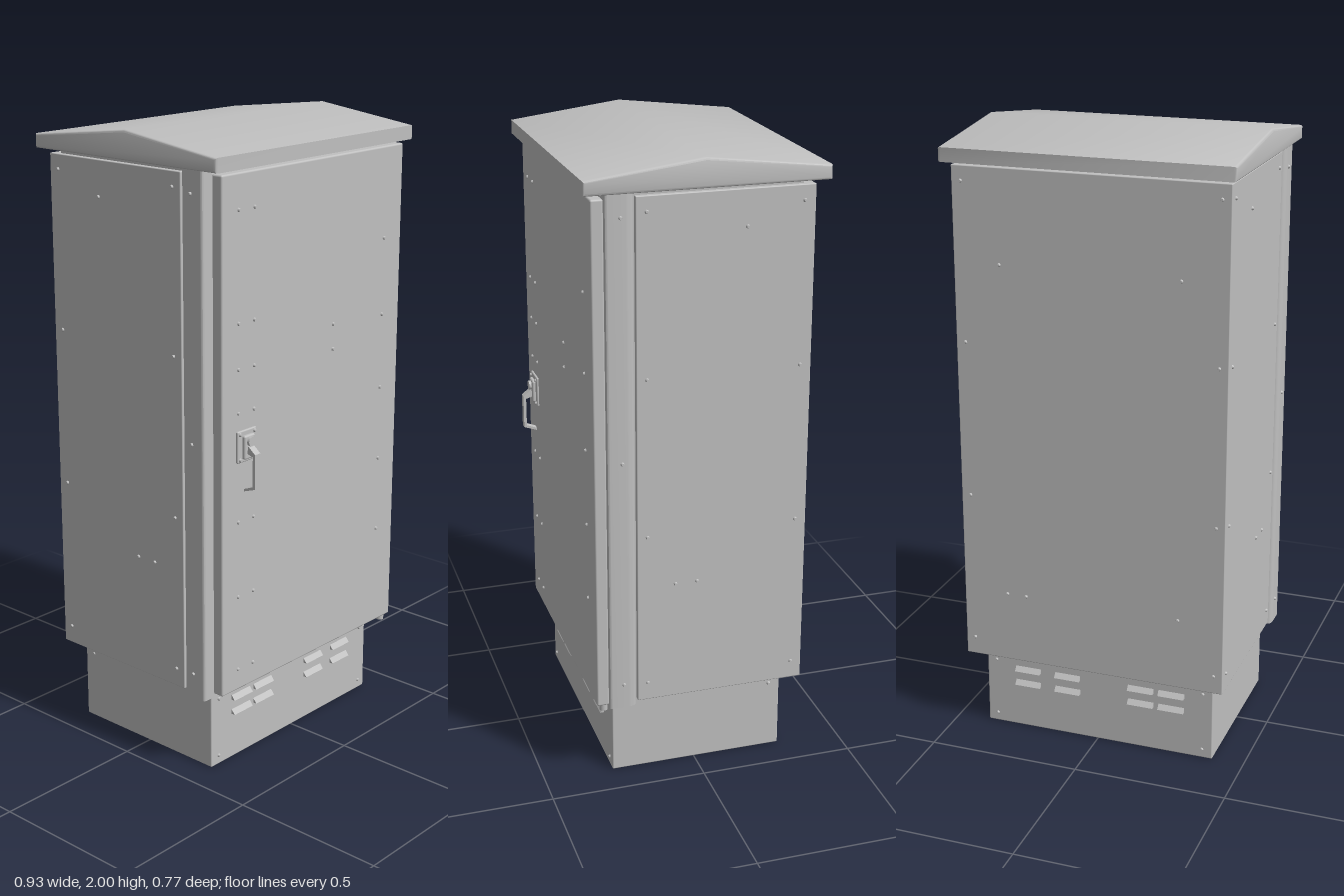
import * as THREE from 'three';
import { toCreasedNormals } from 'three/addons/utils/BufferGeometryUtils.js';
import { RoundedBoxGeometry } from 'three/addons/geometries/RoundedBoxGeometry.js';

export function createModel() {
  const model = new THREE.Group();
  model.name = 'equipmentCabinet';
  const steel = new THREE.MeshStandardMaterial({ color: 0xc0c0c0 });
  steel.name = 'grey painted steel';

  const add = (name, geo, parent = model) => {
    const mesh = new THREE.Mesh(geo, steel);
    mesh.name = name;
    parent.add(mesh);
    return mesh;
  };
  // Box given by its limits; r rounds the edges
  const block = (name, [x0, x1], [y0, y1], [z0, z1], r = 0, parent = model) => {
    const s = [x1 - x0, y1 - y0, z1 - z0];
    const geo = r ? new RoundedBoxGeometry(...s, 3, r) : new THREE.BoxGeometry(...s);
    const mesh = add(name, geo, parent);
    mesh.position.set((x0 + x1) / 2, (y0 + y1) / 2, (z0 + z1) / 2);
    return mesh;
  };
  const group = (name) => {
    const g = new THREE.Group();
    g.name = name;
    model.add(g);
    return g;
  };

  // Plinth, main body and the recessed neck under the roof
  block('plinth', [-0.395, 0.392], [0, 0.28], [-0.292, 0.275], 0.004);
  block('body', [-0.44, 0.44], [0.27, 1.897], [-0.345, 0.203], 0.003);
  block('frontFrame', [-0.425, 0.425], [0.275, 1.897], [0.2, 0.297]);
  block('roofNeck', [-0.425, 0.425], [1.89, 1.915], [-0.31, 0.29]);

  // Door
  block('door', [-0.412, 0.447], [0.275, 1.897], [0.299, 0.338], 0.006);

  // Rounded corner posts on both sides of the door frame
  for (const s of [-1, 1]) {
    const p = new THREE.Shape();
    p.moveTo(s * 0.41, 0.207);
    p.lineTo(s * 0.428, 0.207);
    p.quadraticCurveTo(s * 0.449, 0.209, s * 0.449, 0.235);
    p.lineTo(s * 0.449, 0.288);
    p.quadraticCurveTo(s * 0.449, 0.297, s * 0.44, 0.297);
    p.lineTo(s * 0.41, 0.297);
    const geo = new THREE.ExtrudeGeometry(p, { depth: 1.65, bevelEnabled: false, curveSegments: 6 });
    geo.rotateX(Math.PI / 2); // shape y becomes z, depth runs downwards
    const post = add('cornerPost', toCreasedNormals(geo, 0.6));
    post.position.y = 1.91;
  }

  // Hinge pin below the door
  const pin = add('hingePin', new THREE.CylinderGeometry(0.013, 0.013, 0.03, 12));
  pin.position.set(0.428, 0.268, 0.313);

  // Gabled roof with softened edges
  const b = 0.008;
  const gable = new THREE.Shape([
    [-0.377, 1.918], [0.354, 1.918], [0.354, 1.947], [0, 1.992], [-0.377, 1.947],
  ].map(([z, y]) => new THREE.Vector2(z, y)));
  const roofGeo = new THREE.ExtrudeGeometry(gable, {
    depth: 0.91, bevelSize: b, bevelThickness: b, bevelSegments: 3,
  });
  roofGeo.translate(0, 0, -0.455).rotateY(-Math.PI / 2);
  add('roof', toCreasedNormals(roofGeo, 0.6));

  // Rivets: each face has a placement rule from (u, y) to position and rotation
  const rivetGeo = new THREE.CylinderGeometry(0.004, 0.007, 0.007, 8).rotateX(Math.PI / 2);
  const rivets = group('rivets');
  const rivet = (x, y, z, turn) => {
    const mesh = add('rivet', rivetGeo, rivets);
    mesh.position.set(x, y, z);
    mesh.rotation.y = turn;
  };
  const onDoor = (x, y) => rivet(x, y, 0.34, 0);
  const onBack = (x, y) => rivet(x, y, -0.347, Math.PI);
  const onSides = (z, y, x = 0.442) => {
    for (const s of [-1, 1]) rivet(s * x, y, z, s * Math.PI / 2);
  };
  for (const y of [1.79, 1.455, 1.315, 1.18, 0.835, 0.59, 0.345]) {
    onDoor(-0.34, y);
    onDoor(-0.27, y);
  }
  for (const y of [1.605, 1.355, 1.11, 0.865, 0.615]) onDoor(0.357, y);
  for (const y of [1.37, 1.29]) onDoor(0.105, y);
  for (const y of [1.85, 1.345, 0.835, 0.33]) {
    for (const z of [0.17, -0.31]) onSides(z, y);
    for (const x of [-0.41, 0.41]) onBack(x, y);
  }
  for (const [z, y] of [[-0.135, 1.785], [0.08, 0.665], [0.01, 0.665]]) onSides(z, y);
  for (const [x, y] of [[0.29, 1.6], [-0.29, 1.6], [0.29, 0.505], [0.225, 0.505], [-0.29, 0.505]]) onBack(x, y);
  for (const y of [1.84, 1.09, 0.34]) onSides(0.25, y, 0.451);
  for (const y of [0.23, 0.03]) {
    for (const x of [-0.36, 0.36]) {
      rivet(x, y, 0.277, 0);
      rivet(x, y, -0.294, Math.PI);
    }
  }
  onSides(-0.255, 0.23, 0.395);

  // Ventilation louvres: small sloping hoods on the plinth front and back
  const hood = new THREE.Shape([
    new THREE.Vector2(0, 0), new THREE.Vector2(0.013, 0), new THREE.Vector2(0, 0.016),
  ]);
  const hoodGeo = new THREE.ExtrudeGeometry(hood, { depth: 0.088, bevelEnabled: false });
  hoodGeo.translate(0, 0, -0.044).rotateY(-Math.PI / 2);
  const louvres = group('louvres');
  for (const x of [-0.255, -0.15, 0.105, 0.245]) {
    for (const y of [0.153, 0.203]) {
      const front = add('louvre', hoodGeo, louvres);
      front.position.set(x, y, 0.275);
      const back = add('louvre', hoodGeo, louvres);
      back.position.set(x, y, -0.292);
      back.rotation.y = Math.PI;
    }
  }

  // Latch: mounting plate, lock boss and bent handle
  const latch = group('latch');
  block('latchPlate', [-0.35, -0.265], [1.025, 1.125], [0.335, 0.345], 0.004, latch);
  block('lockHousing', [-0.33, -0.282], [1.035, 1.11], [0.34, 0.356], 0.006, latch);
  const lock = add('lockBoss', new THREE.CylinderGeometry(0.015, 0.015, 0.02, 16).rotateX(Math.PI / 2), latch);
  lock.position.set(-0.306, 1.09, 0.354);
  for (const x of [-0.34, -0.275]) for (const y of [1.035, 1.115]) rivet(x, y, 0.347, 0);
  const arm = new THREE.Shape([
    [0.345, 1.075], [0.36, 1.075], [0.385, 1.055], [0.385, 0.945], [0.342, 0.93],
    [0.342, 0.938], [0.376, 0.951], [0.376, 1.046], [0.345, 1.055],
  ].map(([z, y]) => new THREE.Vector2(z, y)));
  const armGeo = new THREE.ExtrudeGeometry(arm, { depth: 0.024, bevelEnabled: false });
  armGeo.translate(0, 0, -0.012).rotateY(-Math.PI / 2);
  add('handle', armGeo, latch).position.x = -0.306;

  return model;
}
